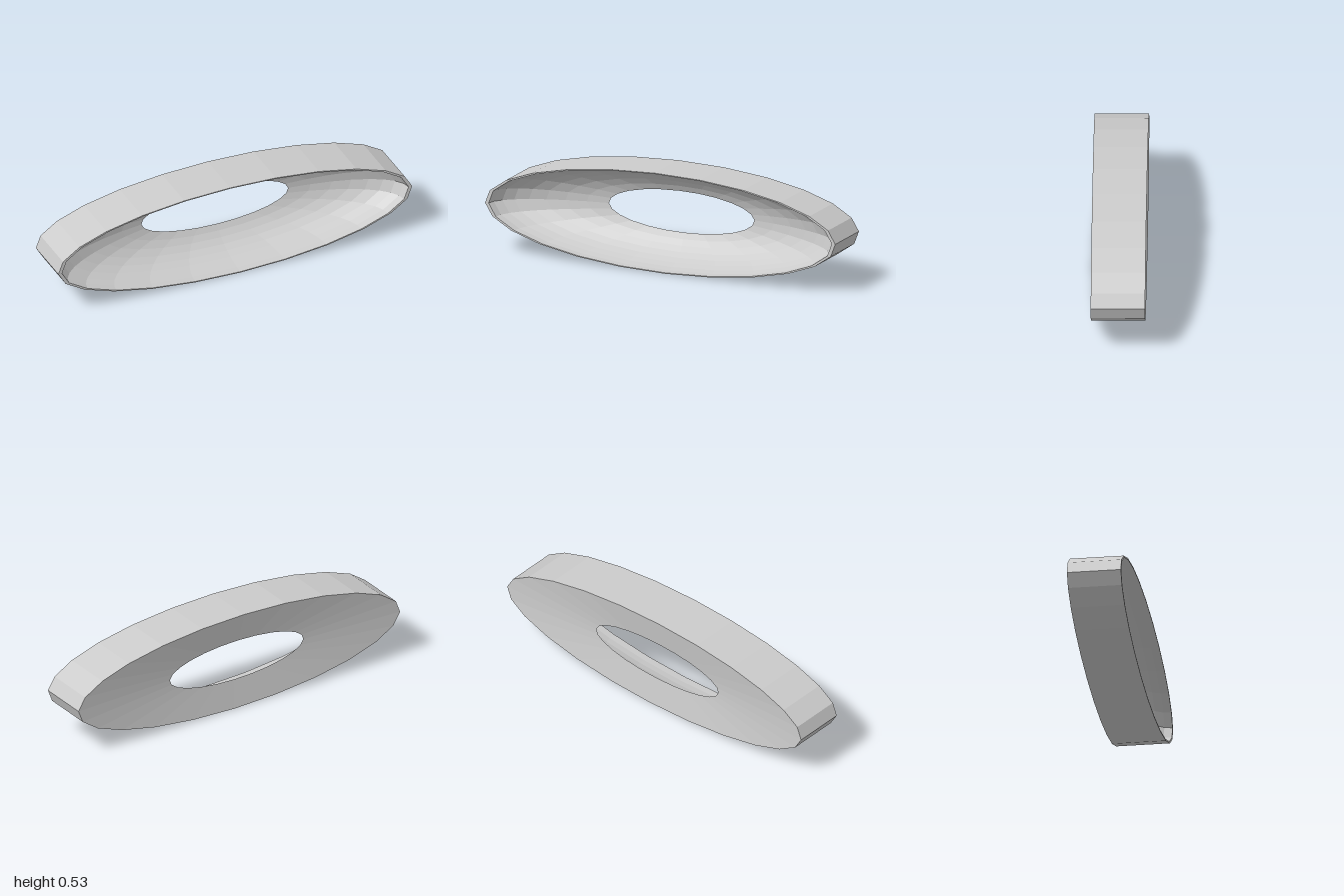
import * as THREE from 'three';

export function createModel() {
  const group = new THREE.Group();
  const material = new THREE.MeshStandardMaterial({ color: 0xcccccc, flatShading: true });

  // Profile as (radius, depth): shallow cone at the back, straight wall, thin lip
  const profile = [
    new THREE.Vector2(0.415, -0.115),
    new THREE.Vector2(1, -0.14),
    new THREE.Vector2(1, 0.14),
  ];

  // Concave dish: steep below the lip, flattening toward the hole
  const steps = 8;
  const sweep = THREE.MathUtils.degToRad(70);
  for (let i = 0; i <= steps; i++) {
    const a = (sweep * i) / steps;
    const r = 0.98 - (0.565 * (1 - Math.cos(a))) / (1 - Math.cos(sweep));
    const z = 0.14 - (0.255 * Math.sin(a)) / Math.sin(sweep);
    profile.push(new THREE.Vector2(r, z));
  }

  // Turn the axis to face front, then squash the ring into an ellipse
  const geometry = new THREE.LatheGeometry(profile, 24);
  geometry.rotateX(Math.PI / 2);
  geometry.rotateZ(THREE.MathUtils.degToRad(1.7));
  geometry.scale(1, 0.265, 1);
  geometry.translate(0, 0.265, 0);

  const ring = new THREE.Mesh(geometry, material);
  ring.name = 'dishedOvalRing';
  group.add(ring);
  return group;
}
